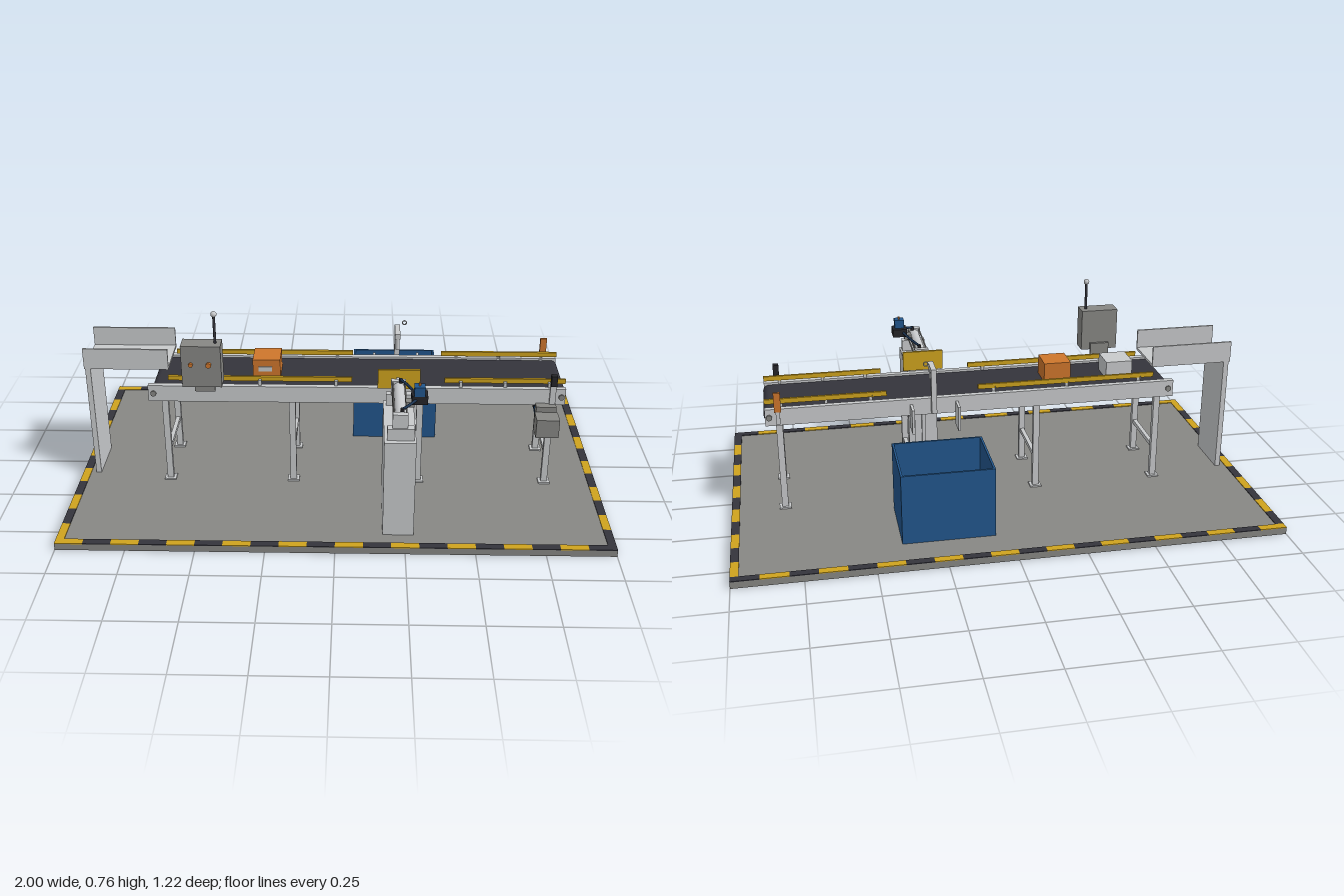
import * as THREE from 'three';

const mat = (name, color) => Object.assign(new THREE.MeshStandardMaterial({ color }), { name });

export function createModel() {
  const model = new THREE.Group();
  model.name = 'conveyorStation';
  const grey = mat('machine grey', 0x878784);
  const light = mat('light metal', 0xc8cacc);
  const dark = mat('dark rubber', 0x34343c);
  const black = mat('black plastic', 0x242428);
  const yellow = mat('safety yellow', 0xcfa31e);
  const blue = mat('blue paint', 0x22568c);
  const orange = mat('orange', 0xce762c);
  const navy = mat('navy hose', 0x1c3452);

  const add = (name, geo, m, x = 0, y = 0, z = 0) => {
    const mesh = new THREE.Mesh(geo, m);
    mesh.name = name;
    mesh.position.set(x, y, z);
    model.add(mesh);
    return mesh;
  };
  // box given by its limits on each axis
  const box = (name, m, x0, x1, y0, y1, z0, z1) =>
    add(name, new THREE.BoxGeometry(x1 - x0, y1 - y0, z1 - z0), m, (x0 + x1) / 2, (y0 + y1) / 2, (z0 + z1) / 2);
  const cyl = (name, m, r, h, x, y, z, axis = 'y') => {
    const c = add(name, new THREE.CylinderGeometry(r, r, h, 20), m, x, y, z);
    if (axis === 'z') c.rotation.x = Math.PI / 2;
    if (axis === 'x') c.rotation.z = Math.PI / 2;
    return c;
  };

  // Floor slab with hazard border
  const F = 0.025;
  box('floorSlab', grey, -1, 1, 0, F, -0.61, 0.61);
  for (let i = 0; i < 20; i++) {
    const x = -1 + i * 0.1;
    for (const z of [-0.595, 0.595])
      box('borderStripe', i % 2 ? dark : yellow, x, x + 0.1, F, F + 0.003, z - 0.015, z + 0.015);
  }
  for (let i = 0; i < 12; i++) {
    const len = 1.16 / 12, z = -0.58 + i * len;
    for (const s of [-1, 1])
      box('borderStripe', (i % 2 === 0) === (s < 0) ? dark : yellow, s * 0.985 - 0.015, s * 0.985 + 0.015, F, F + 0.003, z, z + len);
  }

  // Belt loop with rounded ends
  const belt = new THREE.Shape();
  const x0 = -0.675, x1 = 0.83, r = 0.024;
  belt.moveTo(x0, -r);
  belt.lineTo(x1, -r);
  belt.absarc(x1, 0, r, -Math.PI / 2, Math.PI / 2, false);
  belt.lineTo(x0, r);
  belt.absarc(x0, 0, r, Math.PI / 2, Math.PI * 1.5, false);
  add('belt', new THREE.ExtrudeGeometry(belt, { depth: 0.24, bevelEnabled: false, curveSegments: 14 }), dark, 0, 0.403, -0.095);

  // Side rails, guides, bearings and legs, on both sides of the belt
  const mid = 0.025;
  for (const s of [-1, 1]) {
    const zr = mid + s * 0.132, zg = mid + s * 0.115;
    box('sideRail', light, -0.71, 0.85, 0.37, 0.435, zr - 0.011, zr + 0.011);
    for (const [a, b] of [[-0.635, 0.055], [0.4, 0.85]]) {
      box('guideRail', yellow, a, b, 0.447, 0.465, zg - 0.005, zg + 0.005);
      for (const x of [a + 0.06, (a + b) / 2, b - 0.06])
        box('guideBracket', light, x - 0.006, x + 0.006, 0.43, 0.455, zg, zr);
    }
    for (const x of [-0.69, 0.835]) cyl('bearing', grey, 0.011, 0.01, x, 0.403, zr + s * 0.012, 'z');
    for (const x of [-0.65, -0.17, 0.31, 0.8]) {
      const zl = mid + s * 0.126;
      box('leg', light, x - 0.012, x + 0.012, F, 0.375, zl - 0.01, zl + 0.01);
      box('footPlate', light, x - 0.022, x + 0.022, F, F + 0.006, zl - 0.02, zl + 0.02);
    }
  }
  for (const x of [-0.65, -0.17, 0.31, 0.8])
    box('crossBar', light, x - 0.008, x + 0.008, 0.145, 0.161, mid - 0.12, mid + 0.12);

  // Infeed trough on its end panel
  box('troughFloor', light, -0.953, -0.635, 0.48, 0.49, -0.078, 0.124);
  for (const z of [-0.075, 0.121]) box('troughWall', light, -0.953, -0.635, 0.485, 0.563, z - 0.004, z + 0.004);
  box('troughSupport', light, -0.95, -0.93, F, 0.482, -0.073, 0.122);

  // Parcels
  box('paleParcel', light, -0.567, -0.463, 0.427, 0.495, -0.035, 0.072);
  box('orangeParcel', orange, -0.322, -0.218, 0.427, 0.503, -0.025, 0.08);
  box('parcelLabel', light, -0.3, -0.25, 0.455, 0.475, 0.08, 0.082);

  // Control cabinet with buttons and signal mast
  box('controlCabinet', grey, -0.565, -0.42, 0.472, 0.635, 0.18, 0.247);
  box('cabinetBracket', grey, -0.53, -0.455, 0.42, 0.5, 0.168, 0.181);
  cyl('stopButton', orange, 0.01, 0.012, -0.465, 0.563, 0.252, 'z');
  cyl('startButton', orange, 0.008, 0.01, -0.53, 0.563, 0.251, 'z');
  cyl('signalMast', dark, 0.005, 0.11, -0.442, 0.685, 0.213);
  add('signalLamp', new THREE.SphereGeometry(0.011, 18, 12), light, -0.442, 0.748, 0.213);

  // Drive: gearbox outside, motor under the belt
  box('gearbox', grey, 0.735, 0.82, 0.283, 0.356, 0.2, 0.265);
  box('gearboxFlange', grey, 0.74, 0.815, 0.293, 0.377, 0.165, 0.2);
  cyl('motor', blue, 0.028, 0.07, 0.777, 0.318, 0.131, 'z');
  for (let i = 0; i < 4; i++) cyl('motorFin', blue, 0.031, 0.006, 0.777, 0.318, 0.105 + i * 0.014, 'z');
  cyl('motorFan', black, 0.03, 0.027, 0.777, 0.318, 0.084, 'z');
  box('motorTerminalBox', blue, 0.762, 0.792, 0.34, 0.37, 0.128, 0.15);

  // Exit light barrier
  box('sensorPost', light, 0.79, 0.812, 0.37, 0.465, 0.167, 0.178);
  box('sensorBody', black, 0.79, 0.812, 0.455, 0.497, 0.165, 0.188);
  box('reflector', orange, 0.79, 0.815, 0.43, 0.505, -0.137, -0.126);
  box('reflectorPost', light, 0.795, 0.81, 0.38, 0.435, -0.134, -0.115);

  // Pusher pedestal and cylinder
  box('pedestal', light, 0.17, 0.282, F, 0.405, 0.213, 0.527);
  box('pedestalPost', light, 0.22, 0.235, F, 0.37, 0.192, 0.205);
  box('rearMount', light, 0.18, 0.275, 0.405, 0.45, 0.48, 0.508);
  box('frontMount', light, 0.18, 0.275, 0.405, 0.45, 0.225, 0.25);
  for (const z of [0.235, 0.49]) {
    box('cylinderCap', light, 0.198, 0.252, 0.45, 0.502, z - 0.011, z + 0.011);
    cyl('hoseFitting', black, 0.007, 0.016, 0.232, 0.506, z + (z > 0.3 ? -0.018 : 0.012));
  }
  cyl('pusherCylinder', light, 0.021, 0.25, 0.225, 0.477, 0.362, 'z');
  for (const x of [0.203, 0.247])
    for (const y of [0.456, 0.496]) cyl('tieRod', grey, 0.003, 0.25, x, y, 0.362, 'z');
  cyl('pushRod', light, 0.008, 0.055, 0.225, 0.477, 0.2, 'z');
  box('pusherPlate', yellow, 0.15, 0.307, 0.437, 0.514, 0.168, 0.178);

  // Valve with hoses to both cylinder ends
  box('valveBracket', grey, 0.245, 0.275, 0.49, 0.508, 0.385, 0.42);
  box('valveBase', black, 0.265, 0.322, 0.505, 0.537, 0.374, 0.43);
  box('valveCoil', blue, 0.274, 0.312, 0.537, 0.571, 0.393, 0.43);
  cyl('valveLamp', orange, 0.004, 0.01, 0.293, 0.576, 0.411);
  for (const [z, zv] of [[0.247, 0.377], [0.472, 0.427]]) {
    const path = new THREE.CatmullRomCurve3([
      new THREE.Vector3(0.232, 0.51, z),
      new THREE.Vector3(0.255, 0.516, z + (zv - z) * 0.4),
      new THREE.Vector3(0.28, 0.522, zv)]);
    add('airHose', new THREE.TubeGeometry(path, 16, 0.005, 8), navy);
  }

  // Overhead sensor arm behind the belt
  box('armPost', light, 0.218, 0.238, 0.38, 0.555, -0.14, -0.118);
  box('armBeam', light, 0.218, 0.238, 0.533, 0.555, -0.14, -0.048);
  cyl('armSensor', light, 0.008, 0.045, 0.228, 0.512, -0.058);
  add('cableEye', new THREE.TorusGeometry(0.008, 0.0025, 8, 18), light, 0.255, 0.573, -0.12);

  // Discharge side plates
  for (const x of [0.14, 0.312]) box('dischargePlate', light, x - 0.005, x + 0.005, 0.32, 0.415, -0.18, -0.115);

  // Open reject bin
  const bx0 = 0.058, bx1 = 0.397, bz0 = -0.465, bz1 = -0.185, top = 0.293, t = 0.008;
  box('binFloor', blue, bx0, bx1, F, F + 0.01, bz0, bz1);
  box('binWall', blue, bx0, bx0 + t, F, top, bz0, bz1);
  box('binWall', blue, bx1 - t, bx1, F, top, bz0, bz1);
  box('binWall', blue, bx0 + t, bx1 - t, F, top, bz0, bz0 + t);
  box('binWall', blue, bx0 + t, bx1 - t, F, top, bz1 - t, bz1);

  return model;
}
